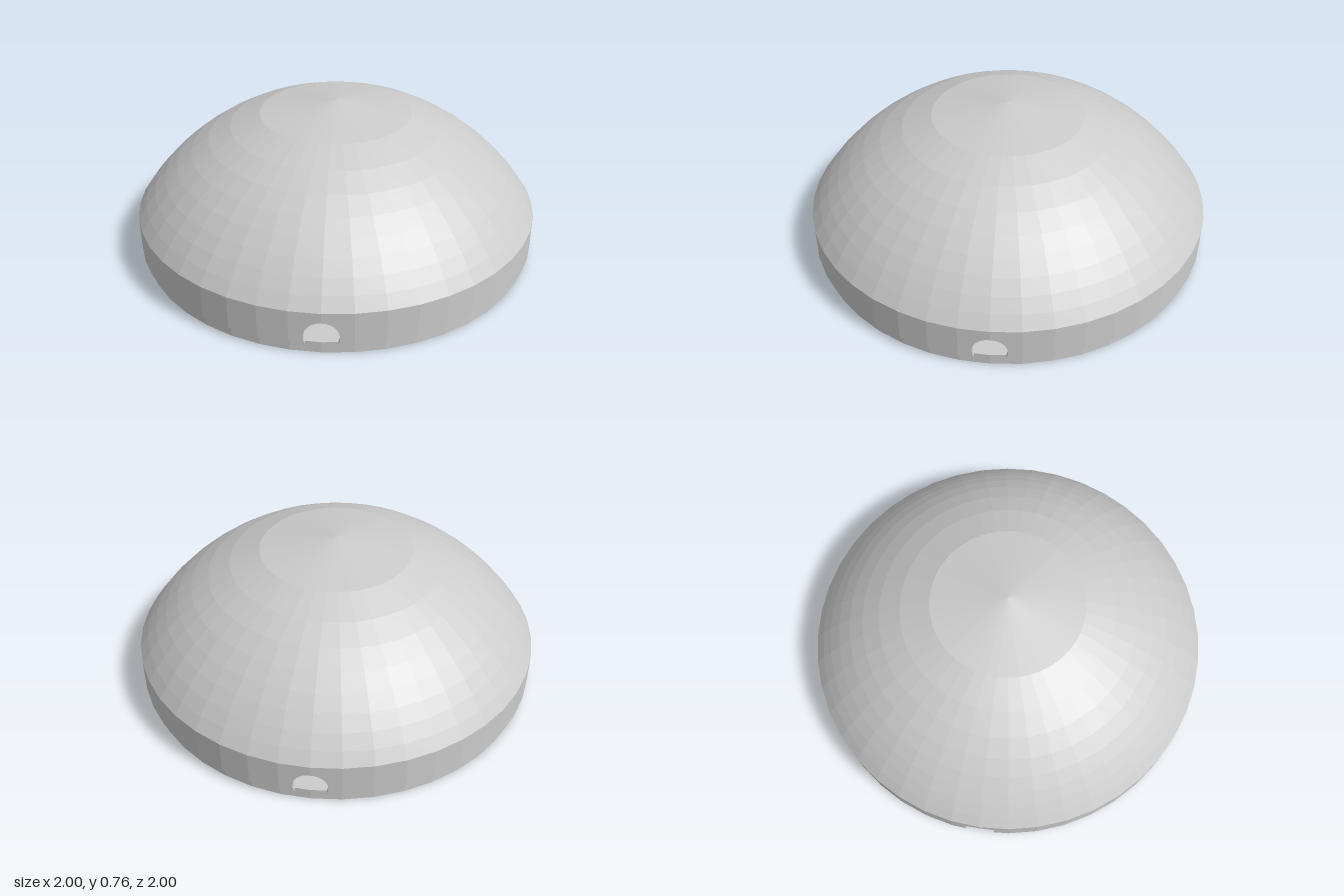
import * as THREE from 'three';

const SIDES = 44, STEP = (Math.PI * 2) / SIDES;
const OUTER = 1, INNER = 0.97;          // wall radii
const PLATE_TOP = 0.055, RIM = 0.22, TIP = 0.76;
const HOLE_R = 0.08, HOLE_Y = 0.09;

const material = new THREE.MeshStandardMaterial({ color: 0xcccccc, flatShading: true, side: THREE.DoubleSide });

function lathe(name, profile) {
  const points = profile.map(([r, y]) => new THREE.Vector2(r, y));
  const mesh = new THREE.Mesh(new THREE.LatheGeometry(points, SIDES), material);
  mesh.name = name;
  return mesh;
}

// Spherical cap cut into layers of equal height, listed from rim to tip
function capProfile(radius, top) {
  const height = top - RIM, layers = 9;
  const ball = (radius * radius + height * height) / (2 * height);
  const profile = [];
  for (let i = layers; i >= 0; i--) {
    const h = (height * i) / layers;
    profile.push([Math.sqrt(2 * ball * h - h * h), top - h]);
  }
  return profile;
}

// Wall columns for one quarter at a given radius: [bottom point, top point]
function wallColumns(radius) {
  const columns = [];
  const corner = (k) => {
    const x = radius * Math.sin(k * STEP), z = radius * Math.cos(k * STEP);
    columns.push([[x, PLATE_TOP, z], [x, RIM, z]]);
  };
  const onFacet = (x, y) => [x, y, radius - Math.abs(x) * Math.tan(STEP / 2)];
  corner(-1);
  // Round cable hole, open at the bottom, centred on the quarter's axis
  const samples = 20;
  const sweep = Math.PI / 2 + Math.asin((HOLE_Y - PLATE_TOP) / HOLE_R);
  for (let i = 0; i <= samples; i++) {
    const t = (2 * i) / samples - 1, a = t * sweep;
    columns.push([
      onFacet(HOLE_R * Math.sin(a), HOLE_Y + HOLE_R * Math.cos(a)),
      onFacet(0.135 * t, RIM),
    ]);
  }
  for (let k = 1; k <= SIDES / 4 - 1; k++) corner(k);
  return columns;
}

function wallQuarterGeometry() {
  const out = wallColumns(OUTER), inn = wallColumns(INNER), positions = [];
  const quad = (a, b, c, d) => positions.push(...a, ...b, ...c, ...a, ...c, ...d);
  for (let i = 0; i < out.length - 1; i++) {
    const [ob, ot] = out[i], [ob2, ot2] = out[i + 1];
    const [ib, it] = inn[i], [ib2, it2] = inn[i + 1];
    quad(ob, ob2, ot2, ot);   // outside
    quad(ib2, ib, it, it2);   // inside
    quad(ib, ib2, ob2, ob);   // underside and hole edge
  }
  const geometry = new THREE.BufferGeometry();
  geometry.setAttribute('position', new THREE.Float32BufferAttribute(positions, 3));
  geometry.computeVertexNormals();
  return geometry;
}

export function createModel() {
  const model = new THREE.Group();
  model.name = 'domedCover';

  // Base plate with a central hole
  model.add(lathe('basePlate', [[0.14, 0], [0.98, 0], [0.98, PLATE_TOP], [0.14, PLATE_TOP], [0.14, 0]]));

  // Hollow dome: outer skin up, inner skin down
  model.add(lathe('dome', [...capProfile(OUTER, TIP), ...capProfile(INNER, TIP - 0.03).reverse()]));

  // Upright wall, four quarters with one hole each
  const wall = new THREE.Group();
  wall.name = 'wall';
  const quarter = wallQuarterGeometry();
  for (let i = 0; i < 4; i++) {
    const mesh = new THREE.Mesh(quarter, material);
    mesh.name = 'wallQuarter';
    mesh.rotation.y = (i * Math.PI) / 2;
    wall.add(mesh);
  }
  model.add(wall);
  return model;
}
